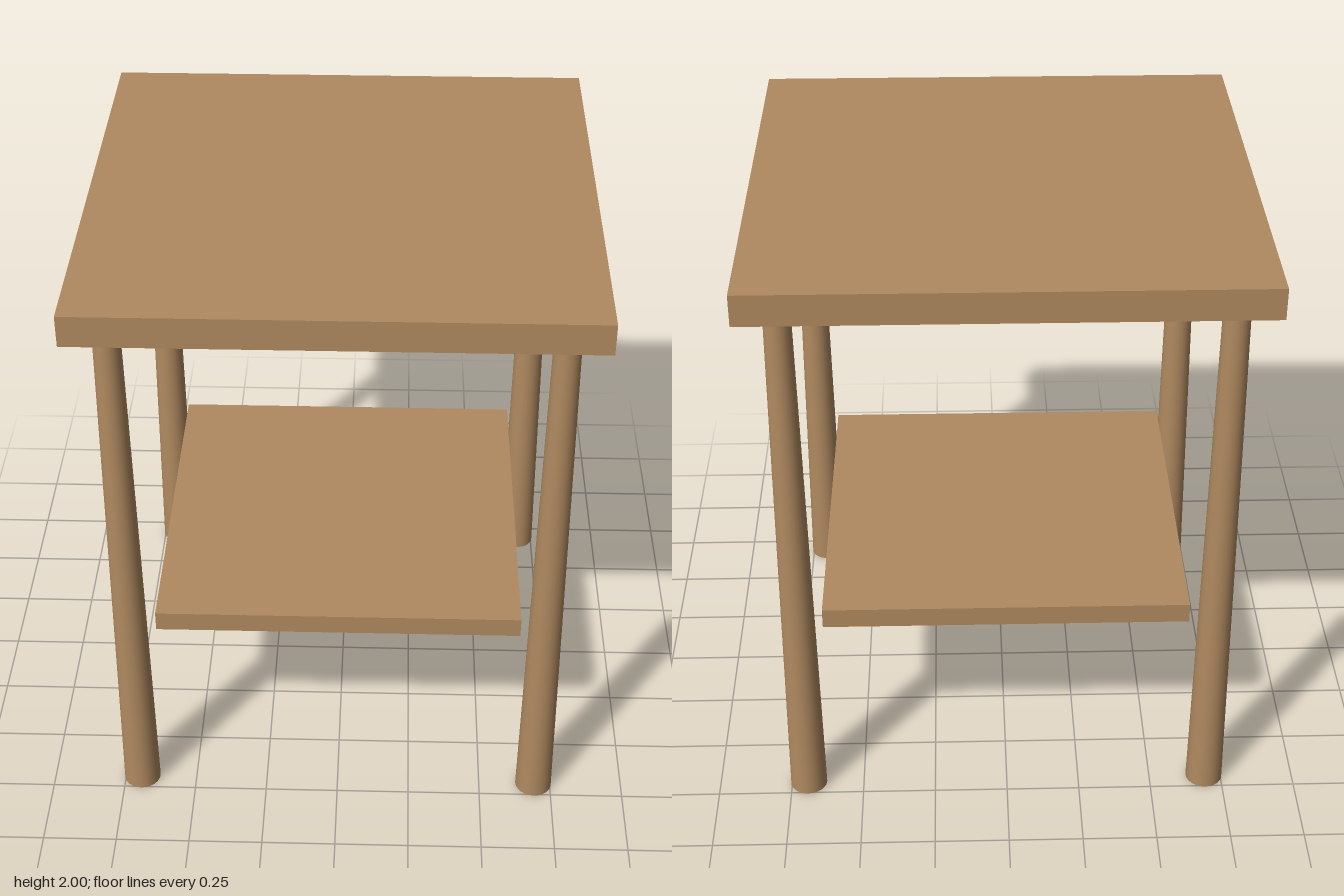
import * as THREE from 'three';

export function createModel() {
  const model = new THREE.Group();
  model.name = 'sideTable';
  const wood = new THREE.MeshStandardMaterial({ color: 0xb08a60 });

  const add = (name, geometry, x, y, z) => {
    const mesh = new THREE.Mesh(geometry, wood);
    mesh.name = name;
    mesh.position.set(x, y, z);
    model.add(mesh);
  };

  // Square table top
  const height = 2, topThickness = 0.104;
  const legHeight = height - topThickness;
  add('tableTop', new THREE.BoxGeometry(1.636, topThickness, 1.636), 0, height - topThickness / 2, 0);

  // Lower shelf, set between the legs
  add('lowerShelf', new THREE.BoxGeometry(1.236, 0.07, 1.236), 0, 0.658, 0);

  // Four round legs, wider at the foot
  const legGeometry = new THREE.CylinderGeometry(0.043, 0.063, legHeight, 24);
  const inset = 0.692;
  for (const [zName, z] of [['front', inset], ['back', -inset]]) {
    for (const [xName, x] of [['Left', inset], ['Right', -inset]]) {
      add(`${zName}${xName}Leg`, legGeometry, x, legHeight / 2, z);
    }
  }

  return model;
}
